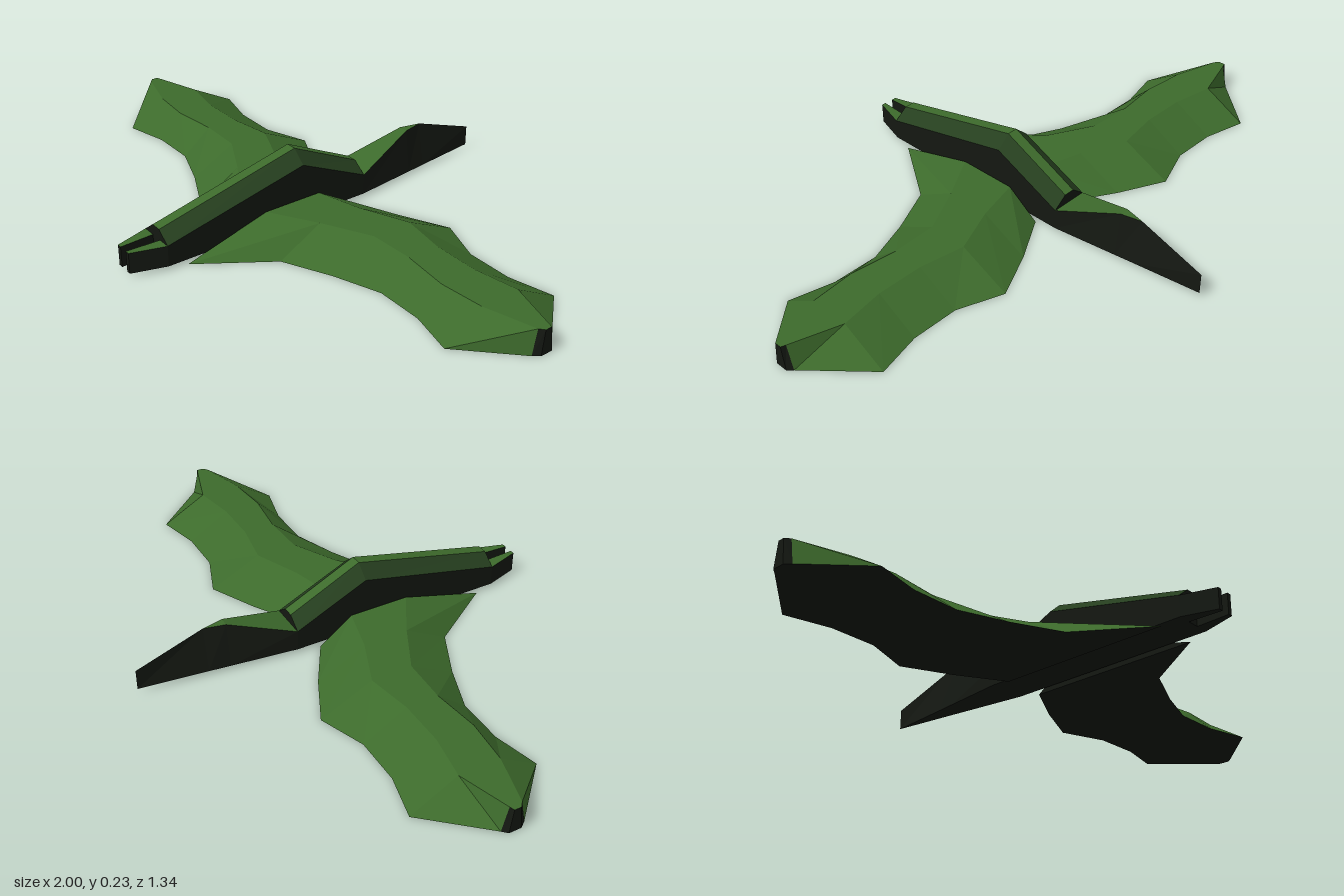
import * as THREE from 'three';

const tones = {
  green: 0x3d6b2c, // upper faces
  moss: 0x263f1f,  // bevels
  dark: 0x141812,  // walls and undersides
};
const materials = {};
for (const key in tones) {
  materials[key] = new THREE.MeshStandardMaterial({ color: tones[key], flatShading: true });
}

// Skins a row of closed rings (counter-clockwise seen from the first ring's side).
// edgeTones gives the colour of each ring edge; both ends are capped.
function loft(name, rings, edgeTones, side = 1) {
  const group = new THREE.Group();
  group.name = name;
  const buffers = { green: [], moss: [], dark: [] };
  const tri = (tone, a, b, c) => {
    const corners = side > 0 ? [a, b, c] : [a, c, b];
    const v = corners.map(p => new THREE.Vector3(p[0] * side, p[1], p[2]));
    const area = v[1].clone().sub(v[0]).cross(v[2].clone().sub(v[0])).length();
    if (area > 1e-7) v.forEach(p => buffers[tone].push(p.x, p.y, p.z));
  };
  const n = edgeTones.length;
  for (let s = 0; s < rings.length - 1; s++) {
    const near = rings[s], far = rings[s + 1];
    for (let j = 0; j < n; j++) {
      const k = (j + 1) % n;
      tri(edgeTones[j], near[j], far[j], far[k]);
      tri(edgeTones[j], near[j], far[k], near[k]);
    }
  }
  const first = rings[0], last = rings[rings.length - 1];
  for (let j = 1; j < n - 1; j++) {
    tri('dark', first[0], first[j], first[j + 1]);
    tri('dark', last[0], last[j + 1], last[j]);
  }
  for (const tone in buffers) {
    if (!buffers[tone].length) continue;
    const geometry = new THREE.BufferGeometry();
    geometry.setAttribute('position', new THREE.Float32BufferAttribute(buffers[tone], 3));
    geometry.computeVertexNormals();
    const mesh = new THREE.Mesh(geometry, materials[tone]);
    mesh.name = `${name} ${tone} faces`;
    group.add(mesh);
  }
  return group;
}

const BASE = 0.012, DECK = 0.08, HALF = 0.063;

export function createModel() {
  const model = new THREE.Group();
  model.name = 'winged craft';

  // Humped body: z, shoulder height, ridge height
  const bodyRings = [[0.56, 0.08, 0.115], [0.075, 0.19, 0.23], [-0.165, 0.08, 0.115]]
    .map(([z, shoulder, ridge]) => [
      [-HALF, BASE, z], [HALF, BASE, z], [HALF, shoulder, z],
      [0.018, ridge, z], [-0.018, ridge, z], [-HALF, shoulder, z],
    ]);
  model.add(loft('body', bodyRings, ['dark', 'dark', 'moss', 'green', 'moss', 'dark']));

  // Tapering tail: z, bottom half width, top half width, top height
  const tailRings = [
    [-0.165, HALF, HALF, DECK], [-0.38, 0.036, 0.016, 0.155],
    [-0.45, 0.027, 0, 0.155], [-0.67, 0, 0, DECK],
  ].map(([z, b, t, y]) => [[-b, BASE, z], [b, BASE, z], [t, y, z], [-t, y, z]]);
  model.add(loft('tail', tailRings, ['dark', 'dark', 'green', 'dark']));

  // Wing sections: x, rear edge, front edge, front crease, rear crease
  const wingSections = [
    [0.07, -0.09, 0.5, 0.22, 0.02],
    [0.22, -0.18, 0.275, 0.13, -0.02],
    [0.375, -0.255, 0.2, 0.05, -0.085],
    [0.525, -0.2, 0.145, 0.045, -0.06],
    [0.68, -0.2, 0.145, 0.063, -0.06],
    [0.825, -0.235, 0.18, 0.05, -0.085],
    [0.985, -0.055, 0.02, 0.005, -0.035],
    [1.0, -0.04, 0.0, -0.008, -0.03],
  ];
  const wingRings = wingSections.map(([x, rear, front, foreCrease, aftCrease]) => [
    [x, 0, rear], [x, 0, front], [x, DECK, foreCrease], [x, DECK, aftCrease],
  ]);

  // Forked nose prong: z, inner x, outer x
  const prongRings = [[0.67, 0.015, 0.03], [0.56, 0.02, HALF]].map(([z, a, b]) => [
    [a, BASE, z], [b, BASE, z], [b, DECK, z], [a, DECK, z],
  ]);

  for (const [label, side] of [['left', 1], ['right', -1]]) {
    model.add(loft(`${label} wing`, wingRings.slice(0, 7), ['dark', 'green', 'green', 'green'], side));
    model.add(loft(`${label} wing tip`, wingRings.slice(6), ['dark', 'dark', 'green', 'dark'], side));
    model.add(loft(`${label} nose prong`, prongRings, ['dark', 'dark', 'green', 'dark'], side));
  }
  return model;
}
